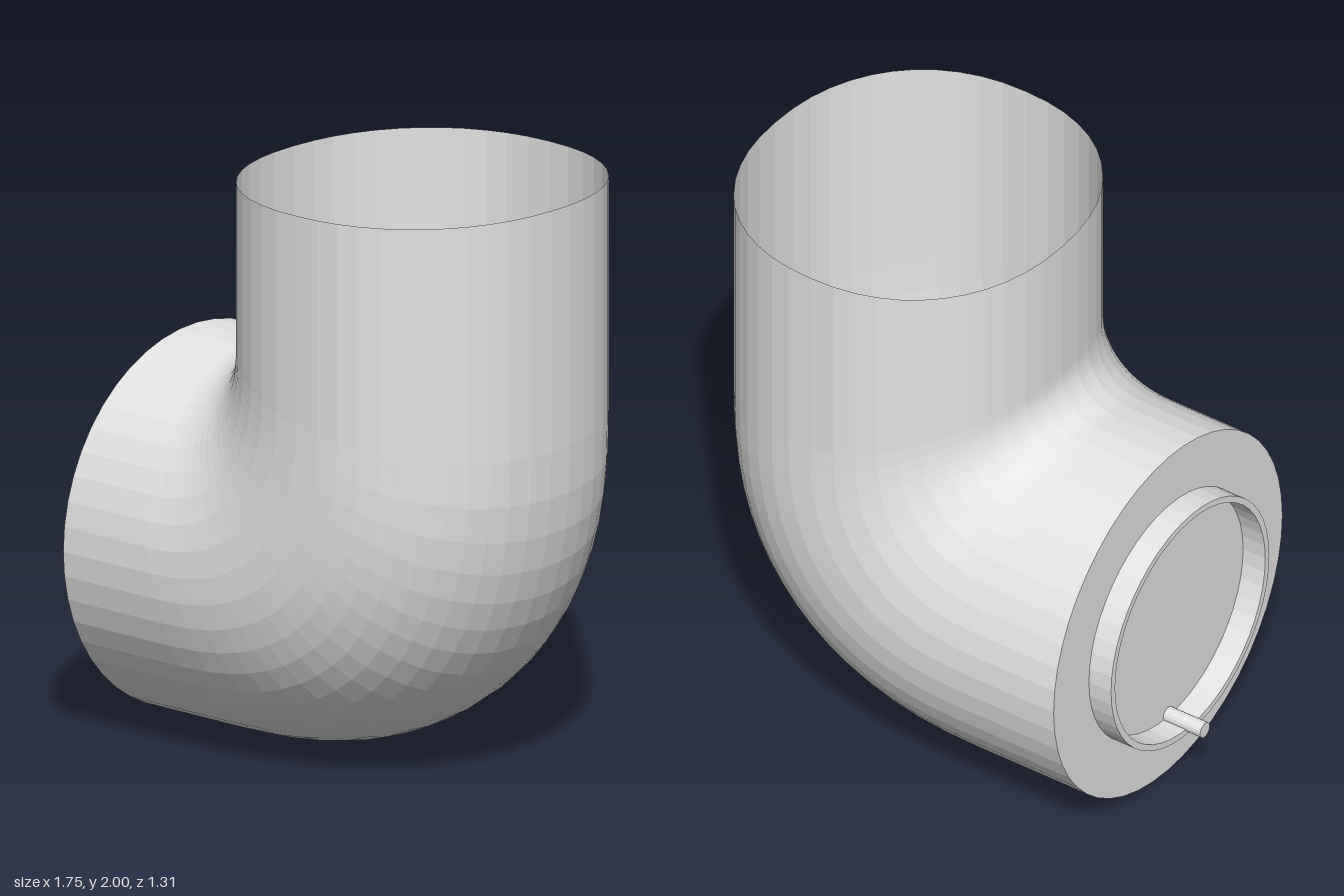
import * as THREE from 'three';

const AROUND = 48, BEND = 16;
const END_X = -0.725, END_Y = 0.655, TOP_Y = 2;

// Signed power, used to square off circles slightly
const power = (v, e) => Math.sign(v) * Math.abs(v) ** e;

// Point on the elbow: c, s locate it around the pipe (c = 1 on the outside of the bend).
// Every lengthwise line is two straights joined by a full fillet that widens towards the outside.
// The section is a slightly squared oval at the top and a circle at the side end.
function elbowPoint(row, c, s) {
  const x = 0.29 + 0.582 * power(c, 0.91);
  const y = END_Y - 0.655 * c;
  if (row === 0) return [x, TOP_Y, 0.618 * power(s, 0.91)];
  if (row === BEND + 2) return [END_X, y, 0.655 * s];
  const t = (row - 1) / BEND, a = t * Math.PI / 2;
  const r = 0.62 + 0.5 * c + 0.05 * c * c;
  const across = r * (1 - power(Math.cos(a), 0.85));
  const down = r * (1 - power(Math.sin(a), 0.85));
  const z = (0.618 + 0.037 * t) * power(s, 0.91 + 0.09 * t);
  return [x - across, y + down, z];
}

function elbowGeometry() {
  const positions = [], index = [], n = AROUND + 1;
  for (let i = 0; i <= BEND + 2; i++) {
    for (let j = 0; j <= AROUND; j++) {
      const a = (j / AROUND) * Math.PI * 2;
      positions.push(...elbowPoint(i, Math.cos(a), Math.sin(a)));
    }
  }
  for (let i = 0; i < BEND + 2; i++) {
    for (let j = 0; j < AROUND; j++) {
      const p = i * n + j;
      index.push(p, p + 1, p + n, p + 1, p + n + 1, p + n);
    }
  }
  const geometry = new THREE.BufferGeometry();
  geometry.setAttribute('position', new THREE.Float32BufferAttribute(positions, 3));
  geometry.setIndex(index);
  geometry.computeVertexNormals();
  return geometry;
}

export function createModel() {
  const group = new THREE.Group();
  group.name = 'pipeElbow';
  const grey = new THREE.MeshStandardMaterial({
    name: 'lightGrey', color: 0xe4e4e4, flatShading: true, side: THREE.DoubleSide,
  });
  const add = (name, geometry, x, y, z) => {
    const mesh = new THREE.Mesh(geometry, grey);
    mesh.name = name;
    mesh.position.set(x, y, z);
    group.add(mesh);
  };

  // Open-topped bent pipe
  add('elbowPipe', elbowGeometry(), 0, 0, 0);

  // Flat wall closing the side end
  add('endCap', new THREE.CircleGeometry(0.655, AROUND).rotateY(-Math.PI / 2), END_X, END_Y, 0);

  // Thin raised ring on the end wall
  const ring = new THREE.Shape().absarc(0, 0, 0.453, 0, Math.PI * 2);
  ring.holes.push(new THREE.Path().absarc(0, 0, 0.43, 0, Math.PI * 2, true));
  const ringGeometry = new THREE.ExtrudeGeometry(ring, { depth: 0.09, bevelEnabled: false, curveSegments: AROUND / 2 });
  add('endRing', ringGeometry.rotateY(-Math.PI / 2), END_X, END_Y, 0);

  // Small pin at the foot of the ring
  add('pin', new THREE.CylinderGeometry(0.028, 0.028, 0.15, 16).rotateZ(Math.PI / 2), -0.8, 0.235, 0);

  return group;
}
